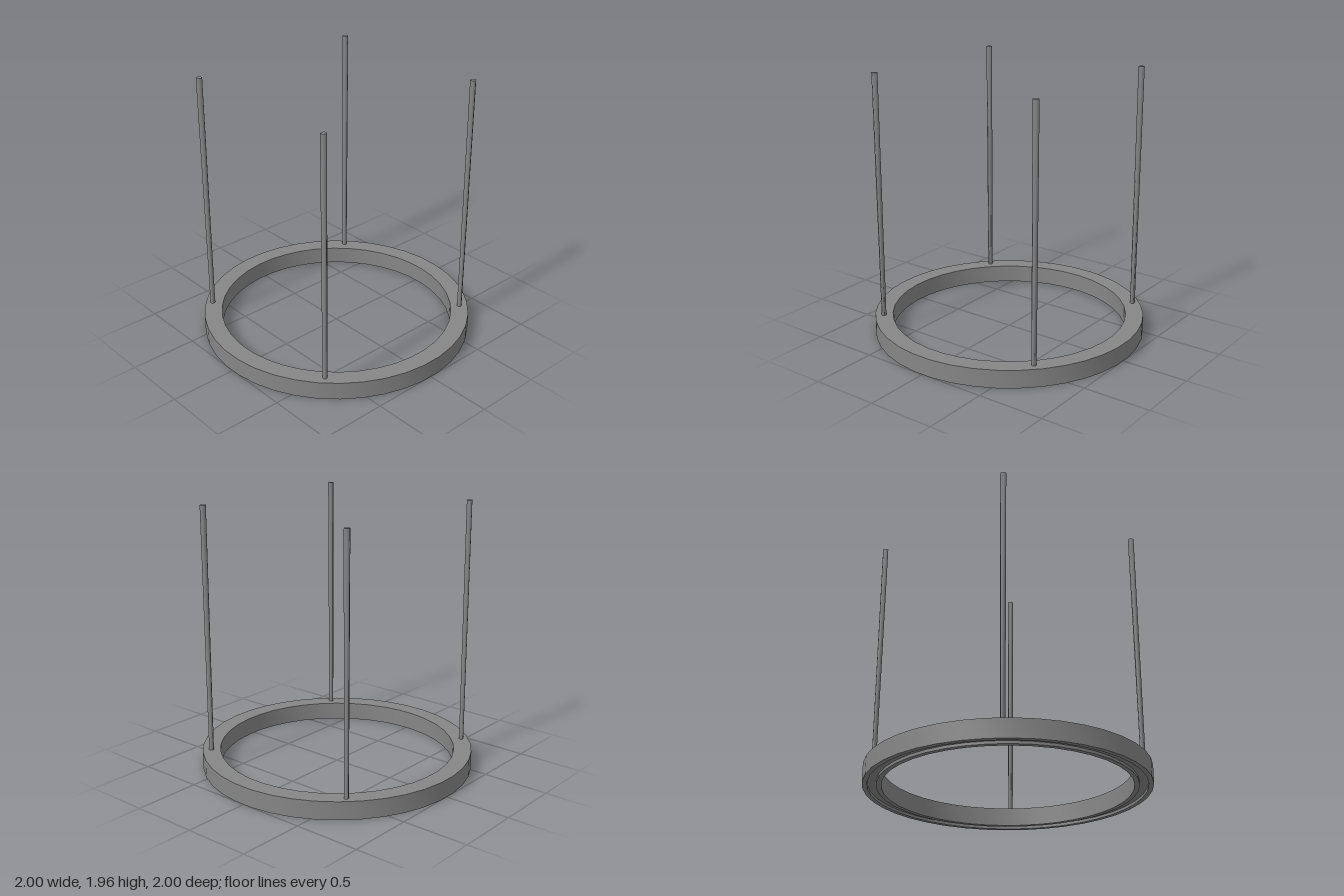
import * as THREE from 'three';
import { toCreasedNormals } from 'three/addons/utils/BufferGeometryUtils.js';

export function createModel() {
  const model = new THREE.Group();
  model.name = 'ringPendantLamp';
  const material = new THREE.MeshStandardMaterial({ color: 0x868686 });

  // Ring: a 40-sided channel with a shallow recess along its underside
  const sides = 40;
  const step = (Math.PI * 2) / sides;
  const outer = 1 / Math.cos(step / 2);
  const inner = 0.872;
  const height = 0.134;
  const rim = 0.035;
  const recess = 0.02;
  const profile = [
    [outer, 0], [outer, height], [inner, height], [inner, 0],
    [inner + rim, 0], [inner + rim, recess],
    [outer - rim, recess], [outer - rim, 0], [outer, 0],
  ].map(([r, y]) => new THREE.Vector2(r, y));
  const ringGeometry = toCreasedNormals(
    new THREE.LatheGeometry(profile, sides, step / 2), Math.PI / 6);
  const ring = new THREE.Mesh(ringGeometry, material);
  ring.name = 'ring';
  model.add(ring);

  // Four slim hexagonal suspension rods, slightly thinner at the foot
  const top = 1.962;
  const foot = 0.13;
  const rodGeometry = toCreasedNormals(
    new THREE.CylinderGeometry(0.022, 0.018, top - foot, 6, 1, false, Math.PI / 6), Math.PI / 2.5);
  for (const x of [-0.657, 0.642]) {
    for (const z of [-0.685, 0.685]) {
      const rod = new THREE.Mesh(rodGeometry, material);
      rod.name = (z > 0 ? 'front' : 'back') + (x > 0 ? 'Left' : 'Right') + 'Rod';
      rod.position.set(x, (top + foot) / 2, z);
      model.add(rod);
    }
  }
  return model;
}
